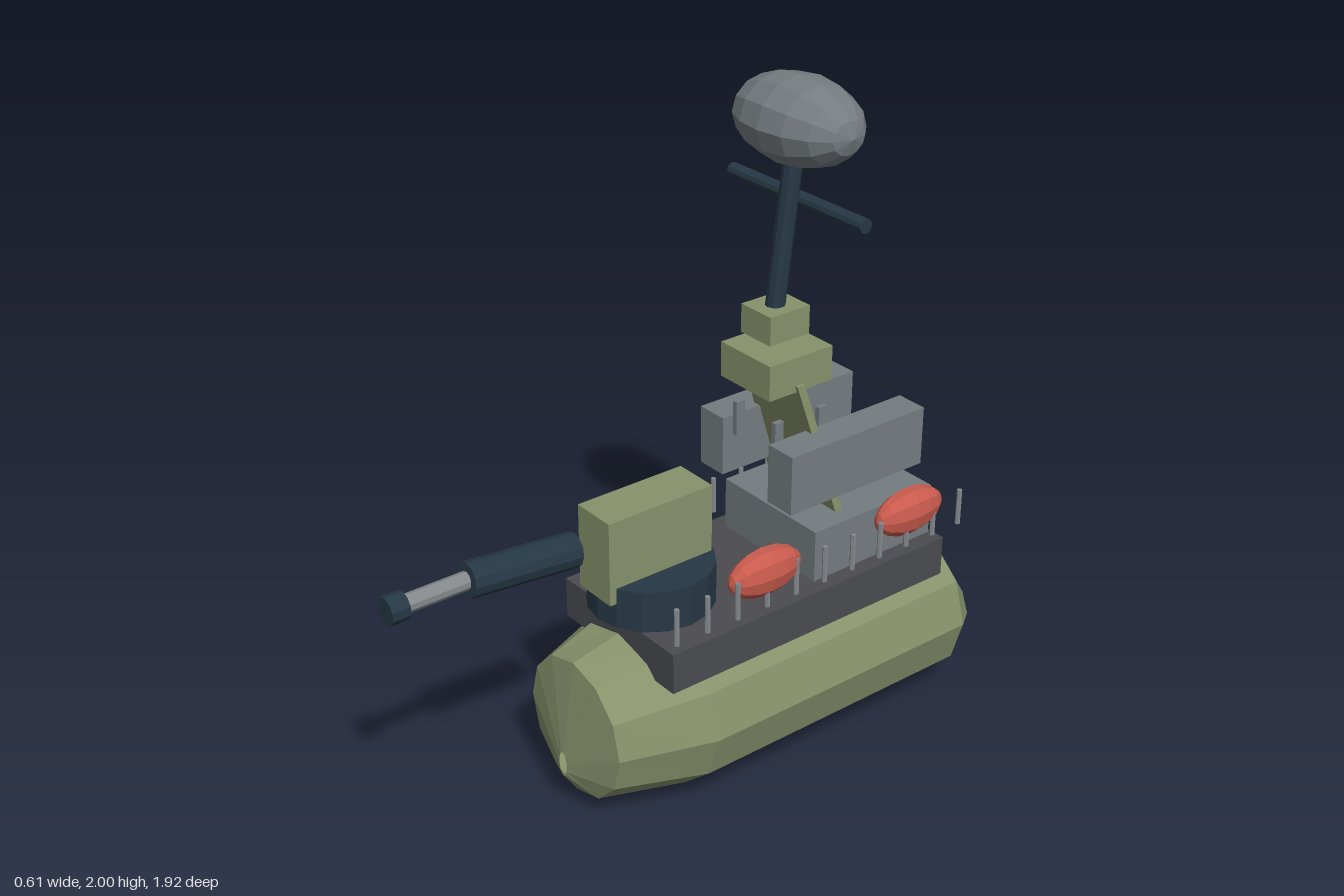
import * as THREE from 'three';

const mat = (name, color, side = THREE.FrontSide) => {
  const m = new THREE.MeshStandardMaterial({ color, flatShading: true, side });
  m.name = name;
  return m;
};

export function createModel() {
  const model = new THREE.Group();
  model.name = 'gunboat';
  const olive = mat('olive', 0x87926c, THREE.DoubleSide);
  const grey = mat('grey', 0x757c80);
  const darkGrey = mat('darkGrey', 0x4b4c50);
  const navy = mat('navy', 0x263845);
  const red = mat('red', 0xc95b4d);
  const steel = mat('steel', 0x85898c);

  const add = (name, geometry, material) => {
    const mesh = new THREE.Mesh(geometry, material);
    mesh.name = name;
    model.add(mesh);
    return mesh;
  };
  // Box from its lower and upper limits
  const box = (name, material, [x0, x1], [y0, y1], [z0, z1]) =>
    add(name, new THREE.BoxGeometry(x1 - x0, y1 - y0, z1 - z0), material)
      .position.set((x0 + x1) / 2, (y0 + y1) / 2, (z0 + z1) / 2);
  // Cylinder between two points
  const rod = (name, material, a, b, r, sides = 10) => {
    const p = new THREE.Vector3(...a), q = new THREE.Vector3(...b);
    const mesh = add(name, new THREE.CylinderGeometry(r, r, p.distanceTo(q), sides), material);
    mesh.position.copy(p).lerp(q, 0.5);
    mesh.quaternion.setFromUnitVectors(new THREE.Vector3(0, 1, 0), q.sub(p).normalize());
  };

  // Hull: twelve-sided rings from stern to nose [z, centre y, half width, half height]
  const rings = [
    [-0.96, 0.2, 0.08, 0.08], [-0.96, 0.2, 0.19, 0.13], [-0.82, 0.272, 0.305, 0.27],
    [0.13, 0.272, 0.305, 0.27], [0.4, 0.267, 0.21, 0.215], [0.445, 0.16, 0.018, 0.04],
  ];
  const sides = 12, points = [], faces = [];
  rings.forEach(([z, cy, rx, ry], i) => {
    for (let j = 0; j < sides; j++) {
      const t = (j / sides) * Math.PI * 2;
      points.push(Math.cos(t) * rx, cy + Math.sin(t) * ry, z);
      if (i === 0) continue;
      const k = (j + 1) % sides, lo = (i - 1) * sides, hi = i * sides;
      faces.push(lo + j, lo + k, hi + k, lo + j, hi + k, hi + j);
    }
  });
  const hull = new THREE.BufferGeometry();
  hull.setAttribute('position', new THREE.Float32BufferAttribute(points, 3));
  hull.setIndex(faces);
  hull.computeVertexNormals();
  add('hull', hull, olive);

  // Deck and deckhouse
  box('deck', darkGrey, [-0.25, 0.25], [0.45, 0.575], [-0.763, 0.245]);
  box('deckhouse', grey, [-0.2, 0.2], [0.575, 0.735], [-0.75, -0.3]);

  // Gun turret
  const ring = add('turretRing', new THREE.CylinderGeometry(0.183, 0.183, 0.125, 16), navy);
  ring.position.set(0, 0.655, 0.13);
  box('turretHouse', olive, [-0.07, 0.07], [0.67, 0.925], [-0.03, 0.32]);
  rod('barrelSleeve', navy, [0, 0.842, 0.387], [0, 0.873, 0.722], 0.05, 12);
  rod('barrel', steel, [0, 0.873, 0.7], [0, 0.873, 0.92], 0.026);
  rod('muzzle', navy, [0, 0.873, 0.907], [0, 0.873, 0.96], 0.04);

  // Tower: a leaning, tapered plate under two blocks
  const plate = new THREE.BoxGeometry(1, 1, 0.026);
  const p = plate.attributes.position;
  for (let i = 0; i < p.count; i++) {
    const top = p.getY(i) > 0;
    p.setXYZ(i, Math.sign(p.getX(i)) * (top ? 0.115 : 0.145), top ? 1.16 : 0.73,
      p.getZ(i) + (top ? -0.305 : -0.438));
  }
  plate.computeVertexNormals();
  add('towerPlate', plate, olive);
  box('towerHead', olive, [-0.105, 0.105], [1.14, 1.245], [-0.425, -0.2]);
  box('mastBase', olive, [-0.062, 0.062], [1.28, 1.365], [-0.375, -0.235]);

  // Mast, crossbar and radar dome
  rod('mast', navy, [0, 1.36, -0.303], [0, 1.78, -0.356], 0.028);
  rod('crossbar', navy, [-0.272, 1.66, -0.372], [0.272, 1.66, -0.372], 0.021);
  const dome = add('radarDome', new THREE.SphereGeometry(1, 12, 8)
    .rotateZ(Math.PI / 2).scale(0.215, 0.122, 0.144), grey);
  dome.position.set(0, 1.878, -0.369);

  for (const s of [-1, 1]) {
    const span = (a, b) => (s > 0 ? [a, b] : [-b, -a]);
    // Side launchers with their pegs
    box('launcher', grey, span(0.1, 0.2), [0.825, 1.005], [-0.7, -0.205]);
    for (const z of [-0.25, -0.41])
      box('launcherPeg', grey, span(0.076, 0.092), [0.95, 1.055], [z - 0.015, z + 0.015]);
    // Painted strips on the rear of the deckhouse
    box('rearStrip', olive, span(0.13, 0.17), [0.58, 0.71], [-0.755, -0.749]);
    // Life rafts
    for (const z of [-0.095, -0.64]) {
      const raft = add('lifeRaft', new THREE.SphereGeometry(1, 10, 8)
        .rotateX(Math.PI / 2).scale(0.05, 0.073, 0.126), red);
      raft.position.set(s * 0.222, 0.698, z);
    }
    // Railing posts
    for (let i = 0; i < 11; i++) {
      const z = 0.233 - i * 0.1053;
      rod('railPost', steel, [s * 0.25, 0.603, z], [s * 0.25, 0.717, z], 0.008, 6);
    }
  }
  return model;
}
